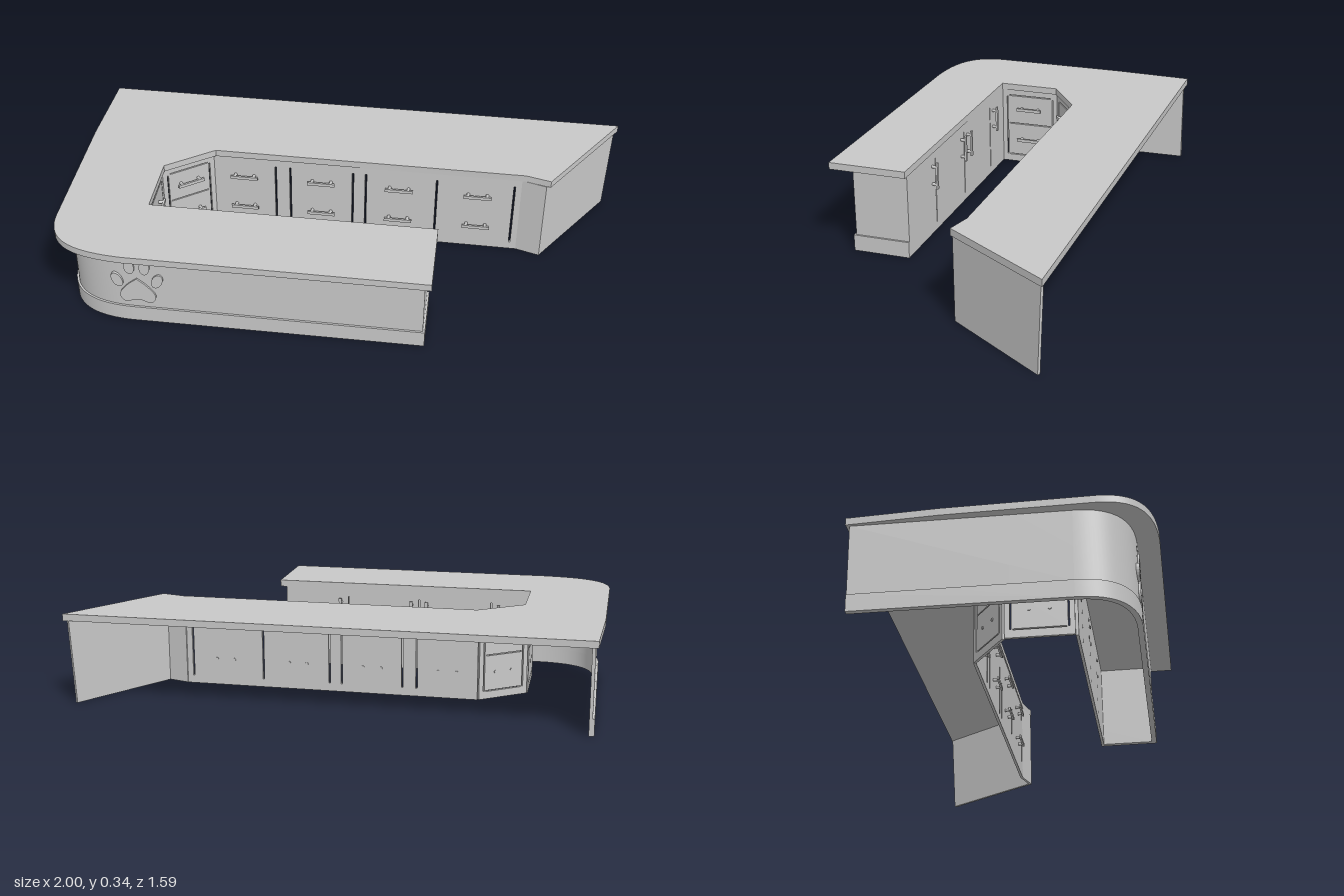
import * as THREE from 'three';
import { toCreasedNormals } from 'three/addons/utils/BufferGeometryUtils.js';

const paint = new THREE.MeshStandardMaterial({ color: 0xc8c8c8, side: THREE.DoubleSide });
paint.name = 'lightGrey';

const V = (x, z) => new THREE.Vector2(x, z);
const TOP = 0.335, UNDER = 0.31, PLINTH = 0.06;

function add(parent, geometry, name) {
  const mesh = new THREE.Mesh(geometry, paint);
  mesh.name = name;
  parent.add(mesh);
  return mesh;
}

// Plan outline (x, z) raised from y0 to y1
function prism(points, y0, y1) {
  const shape = new THREE.Shape(points.map((p) => V(p.x, -p.y)));
  const g = new THREE.ExtrudeGeometry(shape, { depth: y1 - y0, bevelEnabled: false });
  g.rotateX(-Math.PI / 2).translate(0, y0, 0);
  return toCreasedNormals(g, 0.5);
}

// Mitred offset of an open plan path
function offset(path, d) {
  return path.map((p, i) => {
    const a = path[Math.max(i - 1, 0)], b = path[Math.min(i + 1, path.length - 1)];
    const u = (i ? p.clone().sub(a) : b.clone().sub(p)).normalize();
    const v = (i < path.length - 1 ? b.clone().sub(p) : u.clone()).normalize();
    const n = V(-u.y - v.y, u.x + v.x).normalize();
    return p.clone().addScaledVector(n, d / Math.max(n.dot(V(-v.y, v.x)), 0.5));
  });
}

// Straight wall from a to b, facing its local +z; slits are [x, y, w, h] from centre
function wall(parent, name, a, b, slits = [], trim = 0) {
  const group = new THREE.Group();
  group.name = name;
  group.position.set(a.x, 0, a.y);
  group.rotation.y = -Math.atan2(b.y - a.y, b.x - a.x);
  const len = a.distanceTo(b);
  const shape = new THREE.Shape([V(0, 0), V(len - trim, 0), V(len, UNDER), V(0, UNDER)]);
  for (const [x, y, w, h] of slits) {
    shape.holes.push(new THREE.Path([
      V(x - w / 2, y - h / 2), V(x - w / 2, y + h / 2), V(x + w / 2, y + h / 2), V(x + w / 2, y - h / 2)]));
  }
  const g = new THREE.ExtrudeGeometry(shape, { depth: 0.01, bevelEnabled: false });
  add(group, g.translate(0, 0, -0.01), name + 'Panel');
  parent.add(group);
  return group;
}

// Bar handle on two posts that pass through the panel
function handle(parent, x, y, upright = false) {
  const group = new THREE.Group();
  group.name = 'handle';
  group.position.set(x, y, 0);
  if (upright) group.rotation.z = Math.PI / 2;
  add(group, new THREE.BoxGeometry(0.1, 0.012, 0.007), 'handleBar').position.z = 0.019;
  for (const s of [-1, 1]) {
    const post = new THREE.CylinderGeometry(0.006, 0.006, 0.032, 8).rotateX(Math.PI / 2);
    add(group, post, 'handlePost').position.set(s * 0.034, 0, 0.003);
  }
  parent.add(group);
}

export function createModel() {
  const model = new THREE.Group();
  model.name = 'receptionCounter';

  // Countertop
  const slabCurve = new THREE.CubicBezierCurve(V(-0.95, -0.21), V(-1.05, -0.1), V(-1.0, 0.0), V(-0.88, 0.117));
  const slab = [V(-0.42, -0.795), V(-0.63, -0.575), ...slabCurve.getPoints(24), V(-0.12, 0.79), V(0.07, 0.575),
    V(-0.67, -0.08), V(-0.52, -0.25), V(-0.32, -0.23), V(0.51, 0.51), V(0.56, 0.585), V(0.995, 0.46)];
  add(model, prism(slab, UNDER, TOP), 'countertop');

  // Outer wall with rounded corner, returning across the end of the short arm
  const wallCurve = new THREE.CubicBezierCurve(V(-0.88, -0.235), V(-0.97, -0.13), V(-0.93, -0.03), V(-0.83, 0.061));
  const path = [V(-0.42, -0.78), ...wallCurve.getPoints(24), V(-0.085, 0.715), V(0.05, 0.562)];
  const ribbon = (inner, outer) => [...offset(path, inner), ...offset(path, outer).reverse()];
  add(model, prism(ribbon(-0.012, 0), PLINTH, UNDER), 'outerWall');
  add(model, prism(ribbon(-0.012, 0.007), 0, PLINTH), 'plinth');

  // Outer surfaces lie on the outside whichever way the path offset turns
  const inner = [V(-0.675, -0.083), V(-0.525, -0.258), V(-0.323, -0.24), V(0.503, 0.5), V(0.55, 0.575), V(0.98, 0.457)];

  // Long drawer run: four columns of two drawers
  const runLen = inner[2].distanceTo(inner[3]);
  const along = (x) => (x - inner[2].x) / (inner[3].x - inner[2].x) * runLen;
  const slits = [-0.155, -0.115, 0.055, 0.09, 0.28, 0.485].map((x) => [along(x), 0.155, 0.006, 0.25]);
  const run = wall(model, 'drawerRun', inner[2], inner[3], slits);
  for (const x of [-0.24, -0.03, 0.18, 0.39]) {
    for (const y of [0.1, 0.232]) handle(run, along(x), y);
  }

  // Two corner drawer units
  for (const i of [0, 1]) {
    const len = inner[i].distanceTo(inner[i + 1]);
    const unit = wall(model, 'cornerDrawers', inner[i], inner[i + 1],
      [[0.02, 0.155, 0.005, 0.25], [len - 0.02, 0.155, 0.005, 0.25],
        ...[0.03, 0.165, 0.285].map((y) => [len / 2, y, len - 0.055, 0.004])]);
    for (const y of [0.1, 0.232]) handle(unit, len / 2, y);
  }

  // Chamfer and end panel of the long arm
  wall(model, 'chamfer', inner[3], inner[4]);
  wall(model, 'endPanel', inner[4], inner[5], [], 0.018);

  // Short arm: four cupboard doors with upright handles
  const armStart = V(0.05, 0.562), armEnd = inner[0];
  const armLen = armStart.distanceTo(armEnd);
  const seams = [0.26, 0.55, 0.84].map((f) => f * armLen);
  const doors = wall(model, 'cupboardDoors', armStart, armEnd,
    [...seams.map((x) => [x, 0.155, 0.005, 0.25])]);
  for (const x of [seams[0] - 0.03, seams[1] - 0.03, seams[1] + 0.03, seams[2] + 0.03]) handle(doors, x, 0.225, true);

  // Raised paw print on the outer wall
  const paw = new THREE.Group();
  paw.name = 'pawPrint';
  paw.position.set(-0.812, 0, 0.077);
  paw.rotation.y = -Math.atan2(0.66, 0.75);
  const relief = { depth: 0.026, bevelEnabled: false, curveSegments: 10 };
  for (const [x, y, rx, ry, tilt] of [[-0.068, 0.175, 0.018, 0.03, 0.4], [-0.023, 0.235, 0.018, 0.03, 0.1],
    [0.03, 0.235, 0.018, 0.03, -0.1], [0.07, 0.18, 0.018, 0.03, -0.4]]) {
    const toe = new THREE.Shape().absellipse(x, y, rx, ry, 0, Math.PI * 2, false, tilt);
    add(paw, new THREE.ExtrudeGeometry(toe, relief).translate(0, 0, -0.02), 'pawToe');
  }
  const pad = new THREE.Shape(new THREE.SplineCurve([V(0, 0.185), V(-0.035, 0.155), V(-0.062, 0.115), V(-0.045, 0.083),
    V(0, 0.095), V(0.045, 0.083), V(0.062, 0.115), V(0.035, 0.155), V(0, 0.185)]).getPoints(32));
  add(paw, new THREE.ExtrudeGeometry(pad, relief).translate(0, 0, -0.02), 'pawPad');
  model.add(paw);

  return model;
}
